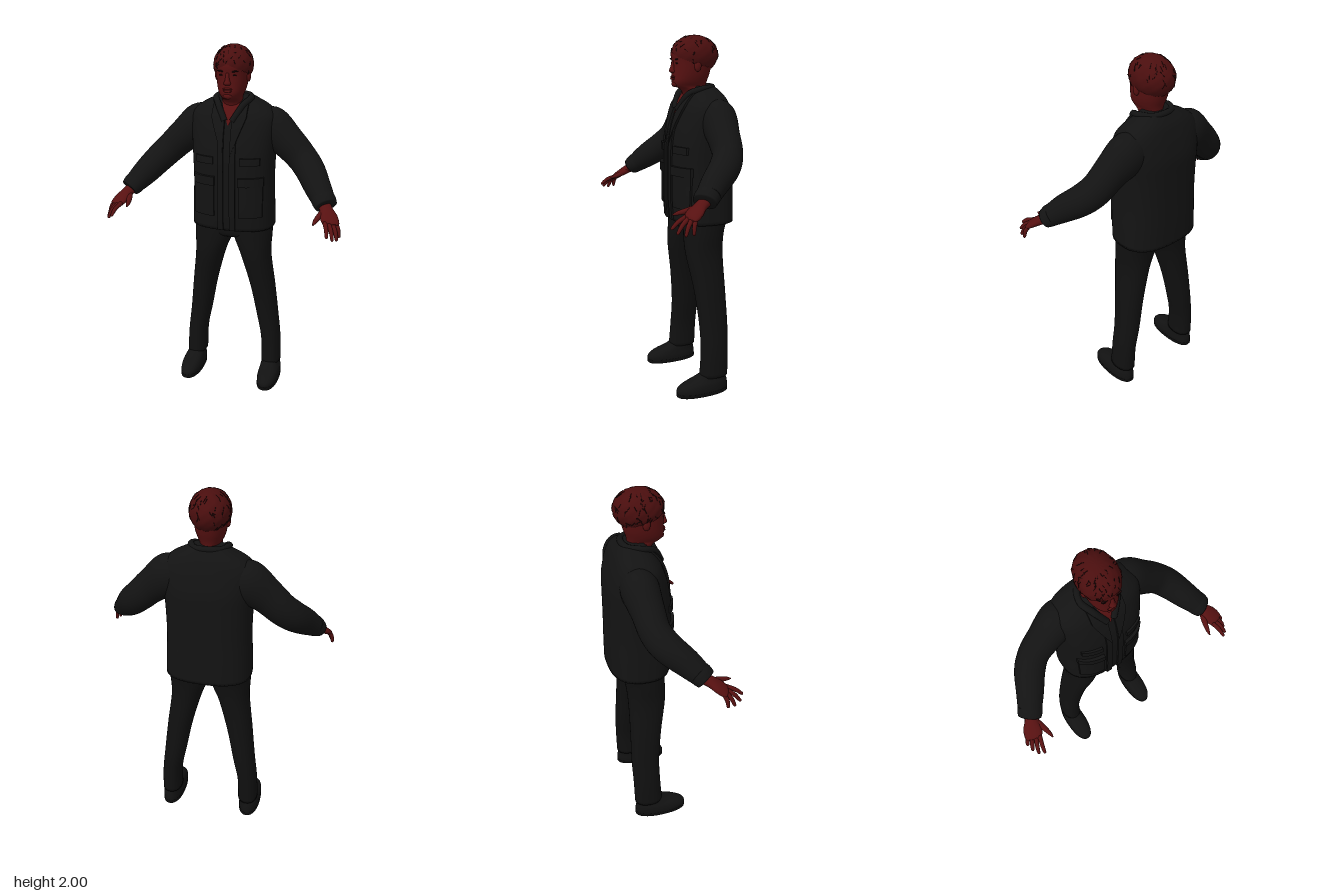
import * as THREE from 'three';
import { mergeGeometries } from 'three/addons/utils/BufferGeometryUtils.js';

const mat = (name, color) => {
  const m = new THREE.MeshStandardMaterial({ color });
  m.name = name;
  return m;
};
const V = (x, y, z) => new THREE.Vector3(x, y, z);

// Catmull-Rom resampling of rows of numbers
function smooth(rows, steps) {
  const out = [], last = rows.length - 1;
  for (let i = 0; i <= last * steps; i++) {
    const k = Math.min(Math.floor(i / steps), last - 1), t = i / steps - k;
    const [a, b, c, d] = [k - 1, k, k + 1, k + 2].map(j => rows[Math.min(Math.max(j, 0), last)]);
    out.push(b.map((_, n) => 0.5 * (2 * b[n] + (c[n] - a[n]) * t
      + (2 * a[n] - 5 * b[n] + 4 * c[n] - d[n]) * t * t
      + (3 * b[n] - a[n] - 3 * c[n] + d[n]) * t * t * t)));
  }
  return out;
}

// Skin over rows [x, y, z, r1, r2]; rings lie flat, or turn with the path when swept
function loft(rows, { swept = false, n = 2, seg = 32 } = {}) {
  const pos = [], idx = [], last = rows.length - 1;
  const pow = v => Math.sign(v) * Math.abs(v) ** (2 / n);
  rows.forEach((r, i) => {
    let u = V(1, 0, 0), v = V(0, 0, -1);
    if (swept) {
      const p = rows[Math.max(i - 1, 0)], q = rows[Math.min(i + 1, last)];
      const t = V(q[0] - p[0], q[1] - p[1], q[2] - p[2]).normalize();
      u = V(0, 1, 0).cross(t).normalize();
      v = t.clone().cross(u);
    }
    for (let j = 0; j < seg; j++) {
      const a = j / seg * Math.PI * 2;
      const p = V(r[0], r[1], r[2]).addScaledVector(u, pow(Math.cos(a)) * r[3]).addScaledVector(v, pow(Math.sin(a)) * r[4]);
      pos.push(p.x, p.y, p.z);
    }
  });
  const end = (last + 1) * seg;
  pos.push(...rows[0].slice(0, 3), ...rows[last].slice(0, 3));
  for (let j = 0; j < seg; j++) {
    const k = (j + 1) % seg;
    for (let i = 0; i < last; i++) {
      const a = i * seg + j, b = i * seg + k;
      idx.push(a, b, a + seg, b, b + seg, a + seg);
    }
    idx.push(end, k, j, end + 1, last * seg + j, last * seg + k);
  }
  const g = new THREE.BufferGeometry();
  g.setAttribute('position', new THREE.Float32BufferAttribute(pos, 3));
  g.setIndex(idx);
  g.computeVertexNormals();
  return g;
}

// Profile rows [y, halfWidth, zFront, zBack] to loft rows
const body = rows => smooth(rows.map(([y, w, f, b]) => [0, y, (f + b) / 2, w, (f - b) / 2]), 4);

// Front surface depth of a lofted body
function frontZ(rows, n, x, y) {
  const i = Math.max(1, rows.findIndex(r => r[1] >= y));
  const a = rows[i - 1], b = rows[i], t = THREE.MathUtils.clamp((y - a[1]) / (b[1] - a[1]), 0, 1);
  const [, , z, w, d] = a.map((v, k) => v + (b[k] - v) * t);
  return z + d * Math.max(0, 1 - Math.abs(x / w) ** n) ** (1 / n);
}

export function createModel() {
  const model = new THREE.Group();
  const skin = mat('skin', 0x571111), hair = mat('hair', 0x4a0e0e), strand = mat('dark hair', 0x1c0707);
  const jacket = mat('jacket cloth', 0x131313), trouser = mat('trouser cloth', 0x101010);
  const shoe = mat('shoe leather', 0x121212), sole = mat('sole rubber', 0x0c0c0c);
  const add = (name, geo, material) => {
    const m = new THREE.Mesh(geo, material);
    m.name = name;
    model.add(m);
    return m;
  };

  // Jacket body
  const torso = body([[0.985, 0.238, 0.052, -0.29], [1.1, 0.234, 0.06, -0.29], [1.25, 0.228, 0.06, -0.288],
    [1.4, 0.232, 0.058, -0.287], [1.5, 0.238, 0.042, -0.285], [1.58, 0.242, 0.018, -0.268], [1.63, 0.232, -0.003, -0.252],
    [1.67, 0.19, -0.03, -0.236], [1.7, 0.135, -0.055, -0.216], [1.725, 0.09, -0.075, -0.195]]);
  add('jacketBody', loft(torso, { n: 2.6, seg: 56 }), jacket);

  // Thin cloth panel that follows the jacket front between two edges
  const panel = (name, y0, y1, xa, xb, thick, material) => {
    const g = new THREE.BoxGeometry(1, 1, 1, 8, 12, 1), p = g.attributes.position;
    for (let i = 0; i < p.count; i++) {
      const y = y0 + (p.getY(i) + 0.5) * (y1 - y0), a = xa(y), b = xb(y);
      const x = Math.min(a, b) + (p.getX(i) + 0.5) * Math.abs(b - a);
      p.setXYZ(i, x, y, frontZ(torso, 2.6, x, y) + (p.getZ(i) > 0 ? thick : -0.01));
    }
    g.computeVertexNormals();
    add(name, g, material);
  };
  panel('openNeck', 1.58, 1.715, y => -(y - 1.575) * 0.42, y => (y - 1.575) * 0.42, 0.006, skin);

  // Collar
  const collarHalf = [[0.02, 1.6, 0.018], [0.07, 1.685, -0.03], [0.098, 1.712, -0.095], [0.065, 1.717, -0.17]];
  const collarPts = [...collarHalf, [0, 1.72, -0.188], ...collarHalf.map(([x, y, z]) => [-x, y, z]).reverse()];
  add('collar', new THREE.TubeGeometry(new THREE.CatmullRomCurve3(collarPts.map(p => V(...p))), 48, 0.017, 10), jacket);

  // Head and neck
  const head = body([[1.6, 0.065, -0.04, -0.17], [1.68, 0.06, -0.03, -0.16], [1.71, 0.058, -0.008, -0.157],
    [1.725, 0.056, 0.024, -0.157], [1.75, 0.068, 0.036, -0.162], [1.79, 0.079, 0.034, -0.176], [1.85, 0.086, 0.033, -0.19],
    [1.9, 0.088, 0.036, -0.195], [1.95, 0.075, 0.015, -0.18], [1.98, 0.04, -0.03, -0.14]]);
  add('head', loft(head, { n: 2.2, seg: 40 }), skin);
  const blob = (name, x, y, z, rx, ry, rz, material) => {
    const m = add(name, new THREE.SphereGeometry(1, 16, 12), material);
    m.position.set(x, y, z);
    m.scale.set(rx, ry, rz);
    return m;
  };
  const faceZ = (x, y) => frontZ(head, 2.2, x, y);
  add('nose', loft(smooth([[0, 1.795, 0.032, 0.012, 0.008], [0, 1.805, 0.037, 0.02, 0.018],
    [0, 1.825, 0.034, 0.012, 0.015], [0, 1.86, 0.031, 0.008, 0.006]], 3), { seg: 14 }), skin);
  blob('upperLip', 0, 1.776, faceZ(0, 1.776), 0.027, 0.006, 0.009, skin);
  blob('lowerLip', 0, 1.765, faceZ(0, 1.765), 0.024, 0.007, 0.009, skin);
  blob('mouthLine', 0, 1.771, faceZ(0, 1.771) + 0.001, 0.025, 0.0015, 0.007, strand);
  blob('chin', 0, 1.738, 0.022, 0.026, 0.018, 0.017, skin);

  // Hair cap: sphere whose lower edge drops from brow to nape
  const cap = (u, v, grow = 0) => {
    const az = u * Math.PI * 2, back = (1 - Math.cos(az)) / 2, th = v * (1.46 + 0.95 * Math.sqrt(back));
    const lump = 1 + grow + 0.018 * Math.sin(az * 11 + th * 5) * Math.sin(th * 9) * Math.sin(th);
    return V(Math.sin(th) * Math.sin(az) * 0.106 * lump, 1.89 + Math.cos(th) * 0.106 * lump,
      -0.092 + Math.sin(th) * Math.cos(az) * 0.132 * lump);
  };
  const capGeo = new THREE.SphereGeometry(1, 64, 28), cp = capGeo.attributes.position, cu = capGeo.attributes.uv;
  for (let i = 0; i < cp.count; i++) cp.setXYZ(i, ...cap(cu.getX(i), 1 - cu.getY(i)).toArray());
  capGeo.computeVertexNormals();
  hair.side = THREE.DoubleSide;
  add('hairCap', capGeo, hair);

  // Short dark strands lying on the hair
  let seed = 7;
  const rnd = () => (seed = (seed * 16807) % 2147483647) / 2147483647;
  const strands = [];
  for (let i = 0; i < 90; i++) {
    const u = rnd(), v = 0.2 + 0.72 * rnd(), du = (rnd() - 0.5) * 0.06, dv = 0.04 + rnd() * 0.1;
    const path = [0, 0.5, 1].map(t => cap(u + du * t, Math.min(v + dv * t, 1), 0.008));
    strands.push(new THREE.TubeGeometry(new THREE.CatmullRomCurve3(path), 4, 0.0016, 4));
  }
  add('hairStrands', mergeGeometries(strands), strand);

  // Trouser seat
  add('trouserSeat', loft(body([[0.92, 0.12, -0.02, -0.18], [0.95, 0.215, 0.003, -0.225], [1.06, 0.22, 0.01, -0.245]]), { n: 2.4 }), trouser);

  for (const s of [1, -1]) {
    const side = s > 0 ? 'left' : 'right';
    const mx = rows => rows.map(r => [r[0] * s, ...r.slice(1)]);

    // Face details
    blob(side + 'Eye', 0.034 * s, 1.848, faceZ(0.034, 1.848) - 0.001, 0.014, 0.004, 0.004, strand);
    blob(side + 'Brow', 0.036 * s, 1.868, faceZ(0.036, 1.868), 0.022, 0.004, 0.006, strand).rotation.z = 0.1 * s;
    blob(side + 'Ear', 0.088 * s, 1.835, -0.075, 0.012, 0.032, 0.02, skin);

    // Lapel, front edge and pockets
    const edge = y => s * Math.max(0.02, (y - 1.56) * 0.42);
    panel(side + 'Lapel', 1.42, 1.69, edge, y => s * (0.022 + 0.075 * Math.min(1, (y - 1.42) / 0.2)), 0.014, jacket);
    panel(side + 'FrontEdge', 0.99, 1.5, () => s * 0.018, () => s * 0.05, 0.01, jacket);
    panel(side + 'ChestFlap', 1.37, 1.41, () => s * 0.075, () => s * 0.18, 0.012, jacket);
    panel(side + 'Pocket', 1.07, 1.27, () => s * 0.07, () => s * 0.195, 0.01, jacket);
    panel(side + 'PocketFlap', 1.25, 1.3, () => s * 0.066, () => s * 0.199, 0.018, jacket);

    // Sleeve and cuff
    add(side + 'Sleeve', loft(smooth(mx([[0.13, 1.575, -0.145, 0.08, 0.08], [0.2, 1.55, -0.145, 0.098, 0.115],
      [0.3, 1.475, -0.13, 0.086, 0.095], [0.38, 1.4, -0.115, 0.08, 0.086], [0.44, 1.34, -0.07, 0.08, 0.082],
      [0.5, 1.27, 0.015, 0.071, 0.072], [0.556, 1.205, 0.088, 0.06, 0.052]]), 5), { swept: true }), jacket);
    add(side + 'Cuff', loft(smooth(mx([[0.532, 1.235, 0.056, 0.064, 0.058], [0.545, 1.218, 0.076, 0.066, 0.058],
      [0.56, 1.2, 0.094, 0.062, 0.05]]), 3), { swept: true }), jacket);

    // Hand
    const limb = (name, rows) => add(side + name, loft(smooth(mx(rows), 4), { swept: true, seg: 14 }), skin);
    limb('Palm', [[0.54, 1.21, 0.07, 0.034, 0.03], [0.564, 1.185, 0.115, 0.036, 0.026],
      [0.582, 1.162, 0.15, 0.049, 0.022], [0.6, 1.138, 0.182, 0.046, 0.018], [0.605, 1.13, 0.193, 0.036, 0.01]]);
    const fingers = [['Index', 0.57, 1.142, 0.196, 0.595, 1.093, 0.284], ['Middle', 0.59, 1.137, 0.192, 0.623, 1.073, 0.264],
      ['Ring', 0.609, 1.134, 0.183, 0.641, 1.062, 0.228], ['Little', 0.626, 1.134, 0.17, 0.648, 1.066, 0.188]];
    for (const [name, x, y, z, X, Y, Z] of fingers)
      limb(name + 'Finger', [[x, y, z, 0.012, 0.012], [(x + X) / 2 + 0.003, (y + Y) / 2 + 0.006, (z + Z) / 2 + 0.003, 0.011, 0.011],
        [x + (X - x) * 0.92, y + (Y - y) * 0.92, z + (Z - z) * 0.92, 0.008, 0.008], [X, Y, Z, 0.002, 0.002]]);
    limb('Thumb', [[0.555, 1.18, 0.115, 0.02, 0.018], [0.534, 1.163, 0.165, 0.016, 0.015],
      [0.521, 1.15, 0.215, 0.011, 0.011], [0.516, 1.142, 0.245, 0.003, 0.003]]);

    // Trouser leg
    add(side + 'TrouserLeg', loft(smooth(mx([[0.238, 0.1, -0.118, 0.058, 0.083], [0.232, 0.25, -0.125, 0.057, 0.08],
      [0.209, 0.4, -0.127, 0.063, 0.082], [0.178, 0.6, -0.115, 0.072, 0.09], [0.138, 0.8, -0.098, 0.087, 0.106],
      [0.116, 0.92, -0.103, 0.112, 0.112], [0.113, 1.0, -0.115, 0.117, 0.12]]), 5), { n: 2.2 }), trouser);

    // Shoe
    const foot = [[0.242, 0.02, -0.046, 0.061, 0.154], [0.242, 0.045, -0.047, 0.062, 0.153], [0.242, 0.07, -0.063, 0.058, 0.133],
      [0.239, 0.09, -0.09, 0.052, 0.102], [0.238, 0.115, -0.115, 0.047, 0.077], [0.238, 0.15, -0.118, 0.044, 0.07]];
    add(side + 'Shoe', loft(smooth(mx(foot), 4), { n: 2.3 }), shoe);
    add(side + 'Sole', loft(mx([[0.242, 0, -0.046, 0.058, 0.15], [0.242, 0.004, -0.046, 0.063, 0.156],
      [0.242, 0.022, -0.046, 0.063, 0.156], [0.242, 0.024, -0.046, 0.058, 0.15]]), { n: 2.3 }), sole);
  }
  return model;
}
